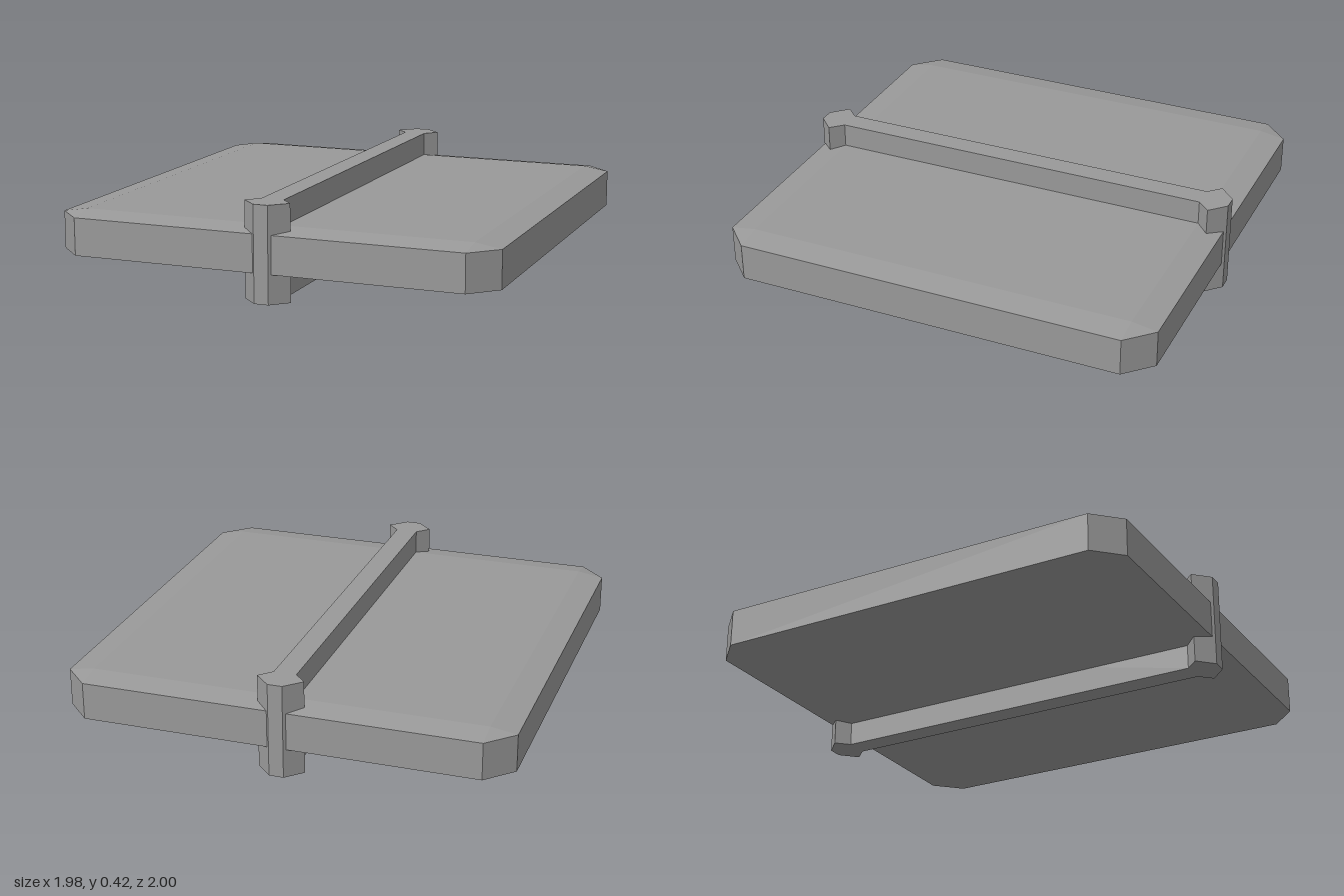
import * as THREE from 'three';
import { ConvexGeometry } from 'three/addons/geometries/ConvexGeometry.js';

const HEIGHT = 0.42;

// Square slab with cut corners and shallow sloped rims above and below
function slabGeometry(outer, inner, rimY, faceY) {
  const points = [];
  for (const x of [-1, 1]) for (const y of [-1, 1]) for (const z of [-1, 1]) {
    points.push(
      new THREE.Vector3(x * outer, y * rimY, z * inner),
      new THREE.Vector3(x * inner, y * rimY, z * outer),
      new THREE.Vector3(x * inner, y * faceY, z * inner)
    );
  }
  return new ConvexGeometry(points);
}

// Upright divider: a thin wall whose two ends flare into pointed heads
function dividerGeometry() {
  const quarter = [[0.05, 0.875], [0.103, 0.93], [0.032, 1]];
  const mirrored = [...quarter].reverse();
  const outline = [
    ...quarter,
    ...mirrored.map(([x, z]) => [-x, z]),
    ...quarter.map(([x, z]) => [-x, -z]),
    ...mirrored.map(([x, z]) => [x, -z])
  ];
  const shape = new THREE.Shape(outline.map(([x, z]) => new THREE.Vector2(x, z)));
  const geometry = new THREE.ExtrudeGeometry(shape, { depth: HEIGHT, bevelEnabled: false });
  return geometry.rotateX(-Math.PI / 2);
}

export function createModel() {
  const model = new THREE.Group();
  model.name = 'dividedSlab';
  const material = new THREE.MeshStandardMaterial({ color: 0x999999, flatShading: true });

  const slab = new THREE.Mesh(slabGeometry(0.99, 0.875, 0.083, 0.102), material);
  slab.name = 'slab';
  slab.position.y = HEIGHT / 2;

  const divider = new THREE.Mesh(dividerGeometry(), material);
  divider.name = 'divider';

  model.add(slab, divider);
  return model;
}
